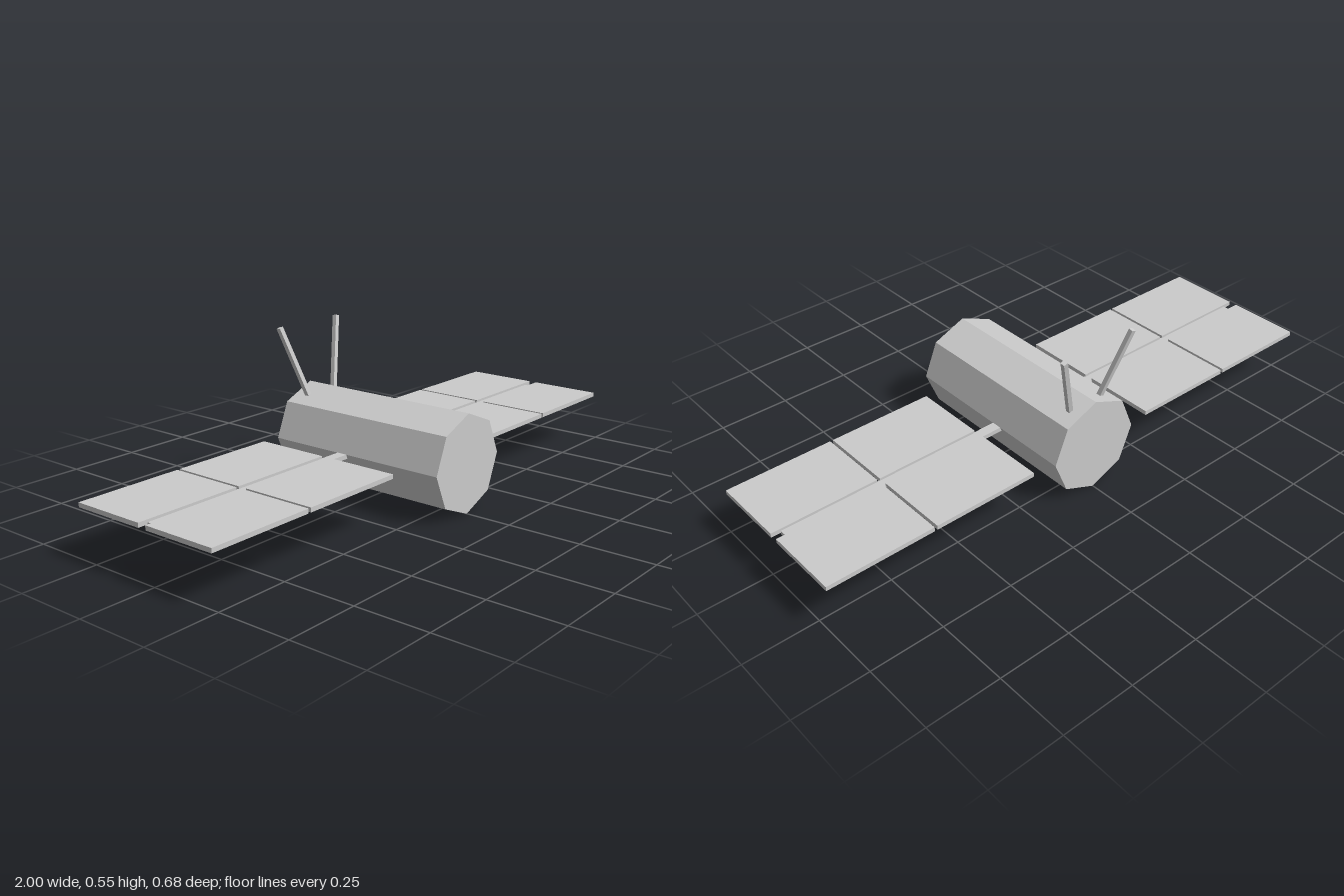
import * as THREE from 'three';

export function createModel() {
  const model = new THREE.Group();
  const material = new THREE.MeshStandardMaterial({ color: 0xcccccc, flatShading: true });

  function add(name, geometry, x, y, z) {
    const mesh = new THREE.Mesh(geometry, material);
    mesh.name = name;
    mesh.position.set(x, y, z);
    model.add(mesh);
    return mesh;
  }

  // Octagonal body lying along z, with a corner on top
  const radius = 0.1665;
  const bodyGeometry = new THREE.CylinderGeometry(radius, radius, 0.665, 8).rotateX(Math.PI / 2);
  add('body', bodyGeometry, 0, radius, 0.0075);

  // Beam through the body that carries the panels
  add('panelBeam', new THREE.BoxGeometry(1.934, 0.015, 0.036), 0, 0.1595, -0.04);

  const panelGeometry = new THREE.BoxGeometry(0.372, 0.015, 0.258);
  const antennaWidth = 0.016;
  for (const side of [1, -1]) {
    const label = side > 0 ? 'left' : 'right';

    // Four solar panels on each wing
    for (const x of [0.432, 0.814]) {
      for (const z of [0.104, -0.184]) {
        add(label + 'SolarPanel', panelGeometry, side * x, 0.168, z);
      }
    }

    // Square antenna rod leaning outwards and back, its foot sunk in the body
    const foot = new THREE.Vector3(side * 0.06, 0.289, -0.272);
    const tip = new THREE.Vector3(side * 0.142, 0.541, -0.328);
    const length = foot.distanceTo(tip);
    const rod = new THREE.BoxGeometry(antennaWidth, length, antennaWidth);
    const antenna = add(label + 'Antenna', rod, 0, 0, 0);
    antenna.position.lerpVectors(foot, tip, 0.5);
    antenna.quaternion.setFromUnitVectors(
      new THREE.Vector3(0, 1, 0), tip.clone().sub(foot).normalize());
  }

  return model;
}
